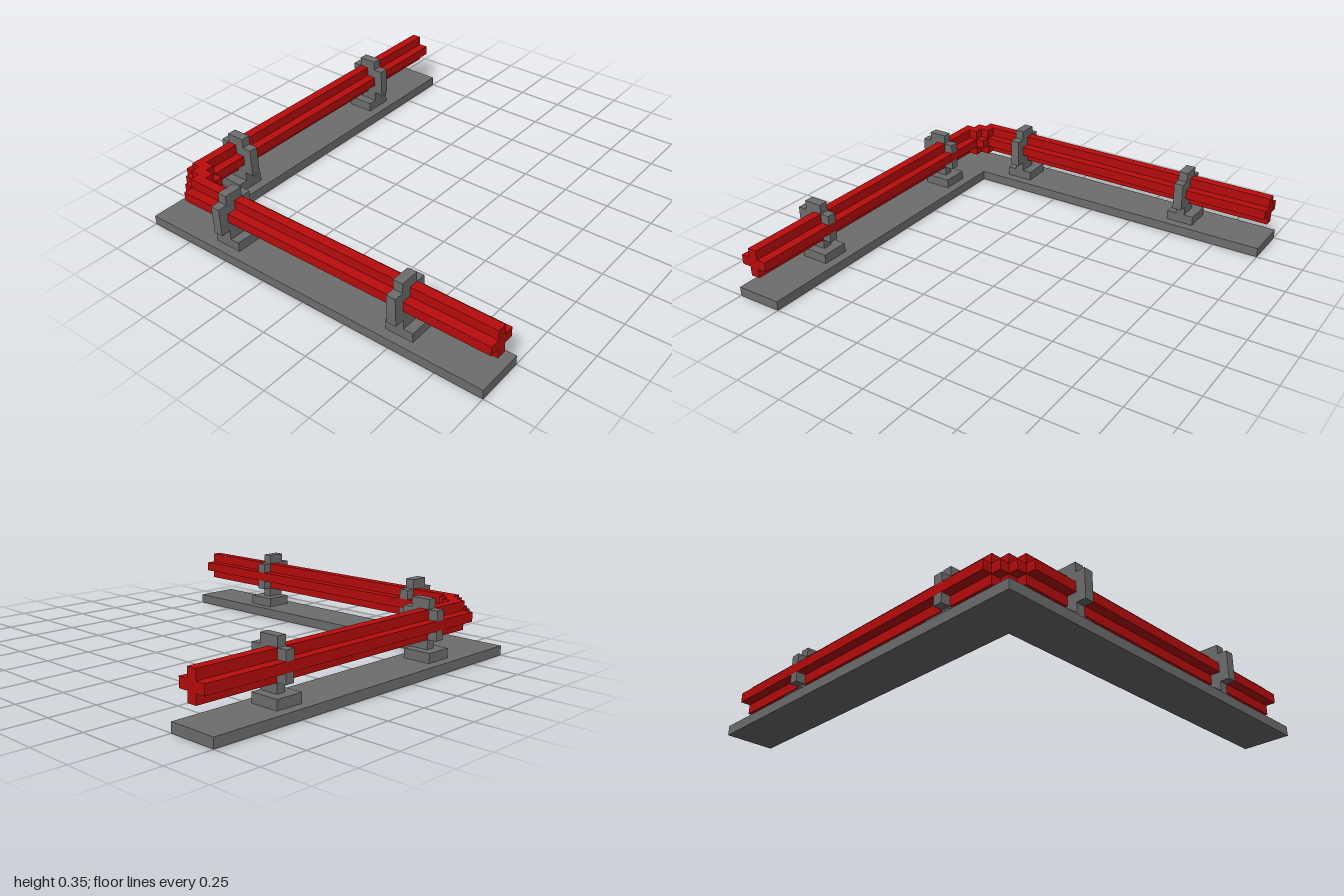
import * as THREE from 'three';

const grey = new THREE.MeshStandardMaterial({ color: 0x6e6e6e });
grey.name = 'grey';
const red = new THREE.MeshStandardMaterial({ color: 0xba0c0c });
red.name = 'red';

// Box given by its minimum and maximum on each axis
function block(parent, name, material, [x0, x1], [y0, y1], [z0, z1]) {
  const mesh = new THREE.Mesh(new THREE.BoxGeometry(x1 - x0, y1 - y0, z1 - z0), material);
  mesh.position.set((x0 + x1) / 2, (y0 + y1) / 2, (z0 + z1) / 2);
  mesh.name = name;
  parent.add(mesh);
}

// Flat shape pushed along one axis
function extrude(parent, name, material, points, depth) {
  const shape = new THREE.Shape(points.map(([x, y]) => new THREE.Vector2(x, y)));
  const mesh = new THREE.Mesh(new THREE.ExtrudeGeometry(shape, { depth, bevelEnabled: false }), material);
  mesh.name = name;
  parent.add(mesh);
  return mesh;
}

// Open clamp on a foot, holding the rail
function createSupport(z) {
  const support = new THREE.Group();
  support.name = 'support';
  const thick = [-0.025, 0.025];
  block(support, 'foot', grey, [-0.075, 0.075], [0.05, 0.1], [-0.075, 0.075]);
  block(support, 'neck', grey, [-0.075, 0.025], [0.1, 0.15], thick);
  block(support, 'clampBack', grey, [-0.125, -0.075], [0.15, 0.3], thick);
  block(support, 'clampCap', grey, [-0.075, 0.025], [0.3, 0.35], thick);
  for (const y of [0.15, 0.25]) {
    block(support, 'clampInner', grey, [-0.075, -0.025], [y, y + 0.05], thick);
    block(support, 'clampTip', grey, [0.025, 0.075], [y, y + 0.05], thick);
  }
  support.position.z = z;
  return support;
}

// Straight rail along z with a plus-shaped section and two supports
function createArm(name) {
  const arm = new THREE.Group();
  arm.name = name;
  const a = 0.025, b = 0.075;
  const plus = [
    [a, -b], [a, -a], [b, -a], [b, a], [a, a], [a, b],
    [-a, b], [-a, a], [-b, a], [-b, -a], [-a, -a], [-a, -b],
  ];
  const rail = extrude(arm, 'rail', red, plus, 1.8);
  rail.position.set(0, 0.225, -0.8);
  for (const z of [-0.525, 0.525]) arm.add(createSupport(z));
  return arm;
}

export function createModel() {
  const model = new THREE.Group();
  model.name = 'cornerRail';

  // L-shaped base plate
  const base = extrude(model, 'base', grey,
    [[-1, -1], [-0.75, -1], [-0.75, 0.75], [1, 0.75], [1, 1], [-1, 1]], 0.05);
  base.rotation.x = -Math.PI / 2;

  // Two arms meeting at the back right corner
  const sideArm = createArm('sideArm');
  sideArm.position.x = -0.875;
  const backArm = createArm('backArm');
  backArm.rotation.y = Math.PI / 2;
  backArm.position.z = -0.875;
  model.add(sideArm, backArm);

  // Stepped corner joint: [column, row, full height]
  const joint = new THREE.Group();
  joint.name = 'cornerJoint';
  const cells = [[3, 2, false], [2, 3, false], [4, 4, false], [3, 3, true], [4, 3, true], [3, 4, true]];
  for (const [i, j, tall] of cells) {
    const x = -1 + i * 0.05, z = -1 + j * 0.05;
    block(joint, 'jointStep', red, [x, x + 0.05], tall ? [0.15, 0.3] : [0.2, 0.25], [z, z + 0.05]);
  }
  model.add(joint);
  return model;
}
